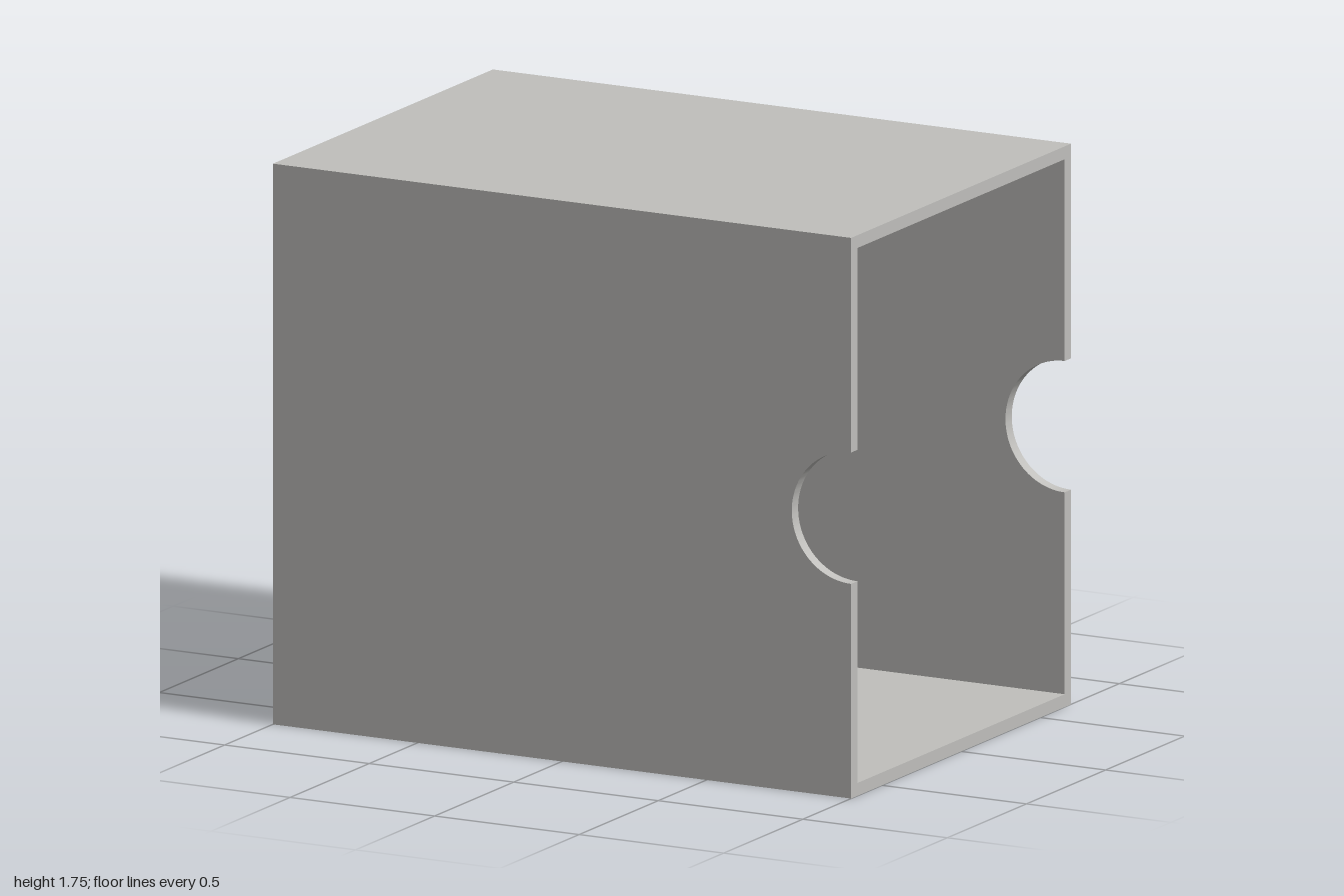
import * as THREE from 'three';
import { toCreasedNormals } from 'three/addons/utils/BufferGeometryUtils.js';

const W = 2, H = 1.75, D = 1.39, T = 0.04; // outer size and wall thickness
const MID = H / 2;

export function createModel() {
  const model = new THREE.Group();
  model.name = 'openBox';
  const grey = new THREE.MeshStandardMaterial({ color: 0xc0bfbc });
  grey.name = 'warmGrey';

  const add = (name, geometry, x, y, z) => {
    const mesh = new THREE.Mesh(geometry, grey);
    mesh.name = name;
    mesh.position.set(x, y, z);
    model.add(mesh);
    return mesh;
  };
  const extrude = (shape, depth) => toCreasedNormals(
    new THREE.ExtrudeGeometry(shape, { depth, bevelEnabled: false, curveSegments: 40 }), 0.5);

  // Large side panels with a half-round thumb notch at the open end
  const r = 0.205;
  const side = new THREE.Shape();
  side.moveTo(-W / 2, 0);
  side.lineTo(W / 2, 0);
  side.lineTo(W / 2, MID - r);
  side.absarc(W / 2, MID, r, 1.5 * Math.PI, 0.5 * Math.PI, true);
  side.lineTo(W / 2, H);
  side.lineTo(-W / 2, H);
  side.closePath();
  add('frontPanel', extrude(side, T), 0, 0, D / 2 - T);
  add('backPanel', extrude(side, T), 0, 0, -D / 2);

  // Floor and roof between the side panels
  const innerD = D - 2 * T;
  add('floor', new THREE.BoxGeometry(W, T, innerD), 0, T / 2, 0);
  add('roof', new THREE.BoxGeometry(W, T, innerD), 0, H - T / 2, 0);

  // Closed end: layered so that each face carries a shallow recess
  const endLayer = (name, x, depth, hole) => {
    const shape = new THREE.Shape();
    shape.moveTo(-innerD / 2, T);
    shape.lineTo(innerD / 2, T);
    shape.lineTo(innerD / 2, H - T);
    shape.lineTo(-innerD / 2, H - T);
    shape.closePath();
    if (hole) shape.holes.push(hole);
    add(name, extrude(shape, depth), x, 0, 0).rotation.y = Math.PI / 2;
  };

  // Arrow with a round centre, engraved on the outside
  const stem = 0.05, ring = 0.13, a = Math.acos(stem / ring);
  const arrow = new THREE.Path();
  arrow.moveTo(0, 1.495);
  arrow.lineTo(0.132, 1.13);
  arrow.lineTo(stem, 1.13);
  arrow.absarc(0, MID, ring, a, -a, true);
  arrow.lineTo(stem, 0.587);
  arrow.lineTo(-stem, 0.587);
  arrow.absarc(0, MID, ring, Math.PI + a, Math.PI - a, true);
  arrow.lineTo(-stem, 1.13);
  arrow.lineTo(-0.132, 1.13);
  arrow.closePath();

  // Small round recess on the inside
  const dimple = new THREE.Path();
  dimple.absarc(0, MID, 0.055, 0, Math.PI * 2, false);

  endLayer('engravedEndWall', -W / 2, 0.04, arrow);
  endLayer('endWallCore', -W / 2 + 0.04, 0.02);
  endLayer('innerEndWall', -W / 2 + 0.06, 0.02, dimple);

  return model;
}
